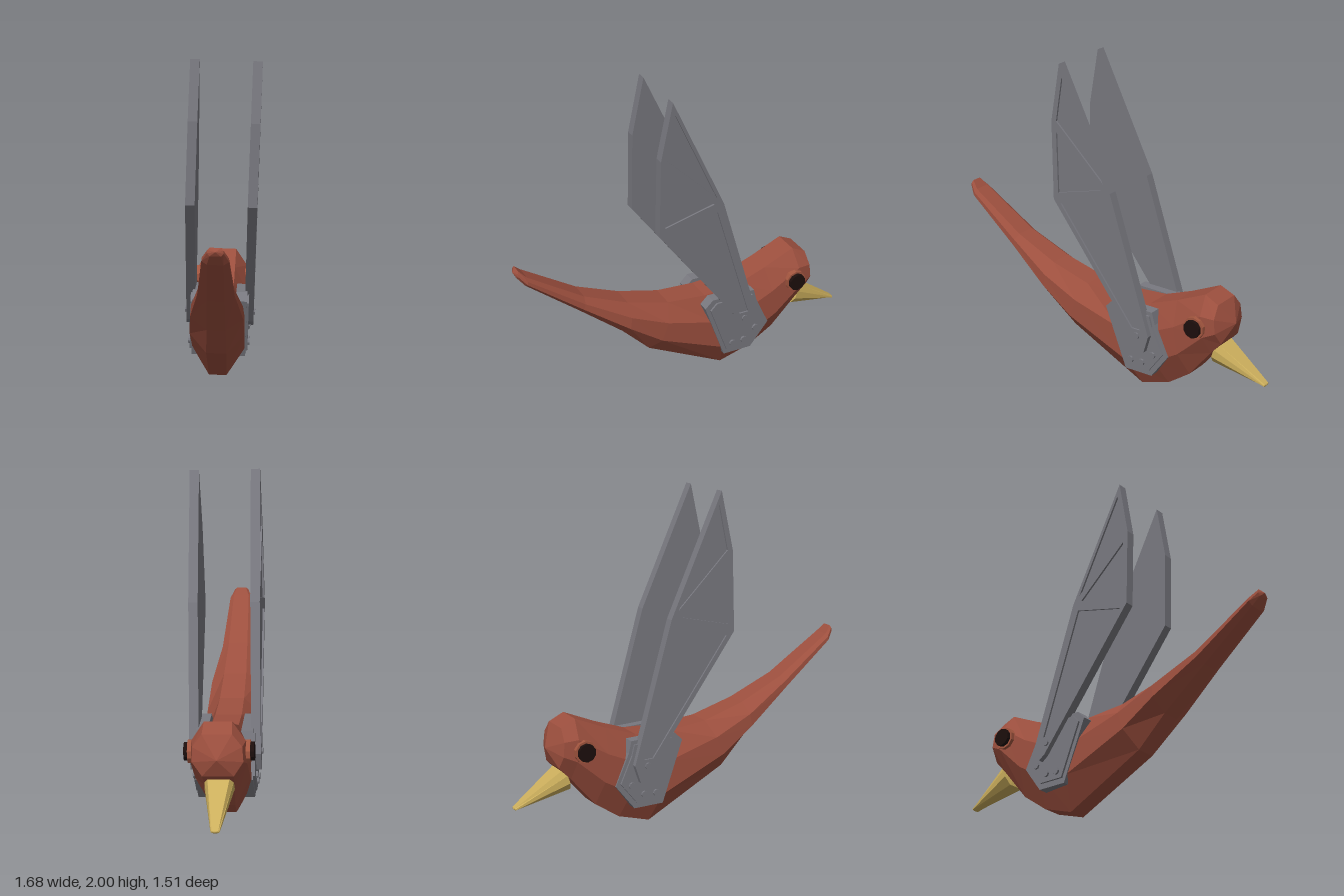
import * as THREE from 'three';

const mat = (name, color, extra = {}) => {
  const m = new THREE.MeshStandardMaterial({ color, flatShading: true, ...extra });
  m.name = name;
  return m;
};

// Faceted loft along x. Each section: bottom [x, y], top [x, y], half widths at bottom, middle and top
function loft(sections, capStart, capEnd) {
  const rings = sections.map(([bx, by, tx, ty, bw, mw, tw]) => {
    const at = (t, w) => [bx + (tx - bx) * t, by + (ty - by) * t, w];
    const half = [at(0, bw), at(0.34, mw), at(0.7, mw * 0.97), at(1, tw)];
    return [...half, ...half.map(([x, y, z]) => [x, y, -z]).reverse()];
  });
  const pos = [];
  const tri = (...p) => p.forEach((q) => pos.push(...q));
  const n = 8;
  for (let j = 0; j < n; j++) {
    const k = (j + 1) % n;
    for (let i = 0; i + 1 < rings.length; i++) {
      const a = rings[i], b = rings[i + 1];
      tri(a[j], b[j], a[k]);
      tri(b[j], b[k], a[k]);
    }
    tri(capStart, rings[0][j], rings[0][k]);
    const e = rings[rings.length - 1];
    tri(capEnd, e[k], e[j]);
  }
  const g = new THREE.BufferGeometry();
  g.setAttribute('position', new THREE.Float32BufferAttribute(pos, 3));
  g.computeVertexNormals();
  return g;
}

const pts = (list) => list.map(([x, y]) => new THREE.Vector2(x, y));

// Plate lying between two distances from the centre plane, on the given side
function plate(outline, near, far, side, holes = []) {
  const shape = new THREE.Shape(pts(outline));
  holes.forEach((h) => shape.holes.push(new THREE.Path(pts(h))));
  const g = new THREE.ExtrudeGeometry(shape, { depth: far - near, bevelEnabled: false });
  return g.translate(0, 0, side > 0 ? near : -far);
}

// Short cylinder whose axis points sideways
function disc(x, y, near, far, r, sides, side) {
  return new THREE.CylinderGeometry(r, r, far - near, sides)
    .rotateX(Math.PI / 2)
    .translate(x, y, side * (near + far) / 2);
}

// Shrink an outline towards its middle
function shrink(list, k) {
  const cx = list.reduce((s, p) => s + p[0], 0) / list.length;
  const cy = list.reduce((s, p) => s + p[1], 0) / list.length;
  return list.map(([x, y]) => [cx + (x - cx) * k, cy + (y - cy) * k]);
}

export function createModel() {
  const red = mat('body red', 0x9c4f3e);
  const grey = mat('metal grey', 0x78787f);
  const gold = mat('beak gold', 0xcbae5c);
  const black = mat('eye black', 0x1c0e0c);
  const rim = mat('eye rim brown', 0xa3563f);

  const bird = new THREE.Group();
  bird.name = 'bird';
  const add = (parent, name, geo, material) => {
    const m = new THREE.Mesh(geo, material);
    m.name = name;
    parent.add(m);
  };

  // Body, from tail tip to face
  add(bird, 'body', loft([
    [-1.085, 1.0, -1.075, 1.045, 0.03, 0.045, 0.03],
    [-1.04, 0.945, -1.03, 1.0, 0.045, 0.075, 0.05],
    [-0.71, 0.68, -0.68, 0.775, 0.05, 0.105, 0.06],
    [-0.43, 0.45, -0.4, 0.655, 0.055, 0.155, 0.07],
    [-0.25, 0.27, -0.13, 0.58, 0.06, 0.163, 0.075],
    [0.26, 0.008, 0.12, 0.56, 0.055, 0.163, 0.08],
    [0.46, 0.07, 0.35, 0.575, 0.06, 0.16, 0.08],
    [0.62, 0.18, 0.54, 0.645, 0.07, 0.16, 0.08],
    [0.78, 0.37, 0.74, 0.733, 0.085, 0.16, 0.08],
    [0.855, 0.45, 0.83, 0.69, 0.09, 0.145, 0.085],
  ], [-1.098, 1.025, 0], [0.9, 0.56, 0]), red);

  // Beak
  add(bird, 'beak', loft([
    [0.77, 0.3, 0.81, 0.435, 0.05, 0.086, 0.065],
    [1.108, 0.217, 1.112, 0.232, 0.012, 0.025, 0.018],
  ], [0.78, 0.36, 0], [1.115, 0.224, 0]), gold);

  // Wing outline and its three recessed panels
  const wing = [[-0.187, 1.997], [-0.258, 1.64], [-0.262, 1.15], [0.345, 0.34],
    [0.385, 0.31], [0.42, 0.42], [0.16, 1.27]];
  const panels = [
    shrink([[-0.18, 1.95], [-0.238, 1.645], [0.135, 1.285]], 0.9),
    shrink([[-0.238, 1.6], [-0.238, 1.18], [0.12, 1.27]], 0.9),
    [[-0.21, 1.13], [0.3, 0.45], [0.36, 0.45], [0.12, 1.22]],
  ];
  const mount = [[0.08, 0.52], [0.13, 0.57], [0.42, 0.565], [0.44, 0.49],
    [0.53, 0.3], [0.41, 0.145], [0.22, 0.145]];
  const bolts = [[0.27, 0.225], [0.35, 0.228], [0.43, 0.295]];

  for (const side of [1, -1]) {
    const label = side > 0 ? 'right' : 'left';

    // Mount bolted to the flank
    const m = new THREE.Group();
    m.name = label + 'WingMount';
    add(m, 'mountPlate', plate(mount, 0.1, 0.168, side), grey);
    add(m, 'mountPanel', plate(shrink(mount, 0.86), 0.168, 0.18, side), grey);
    bolts.forEach(([x, y]) => add(m, 'bolt', disc(x, y, 0.17, 0.192, 0.021, 8, side), grey));
    bird.add(m);

    // Wing slab with a raised frame on its outer face
    const w = new THREE.Group();
    w.name = label + 'Wing';
    add(w, 'wingSlab', plate(wing, 0.155, 0.2, side), grey);
    add(w, 'wingFrame', plate(wing, 0.2, 0.211, side, panels), grey);
    add(w, 'wingBolt', disc(0.335, 0.41, 0.2, 0.22, 0.021, 8, side), grey);
    bird.add(w);

    // Eye
    const e = new THREE.Group();
    e.name = label + 'Eye';
    add(e, 'eyeRim', disc(0.72, 0.55, 0.13, 0.178, 0.068, 10, side), rim);
    add(e, 'eyeBall', disc(0.72, 0.55, 0.15, 0.2, 0.055, 10, side), black);
    bird.add(e);
  }

  // The bird heads diagonally and leans slightly sideways
  const heading = THREE.MathUtils.degToRad(41);
  bird.rotation.set(0.034, heading, 0, 'YXZ');
  bird.position.set(-0.025 * Math.sin(heading), 0, -0.025 * Math.cos(heading));

  const model = new THREE.Group();
  model.name = 'model';
  model.add(bird);
  return model;
}
